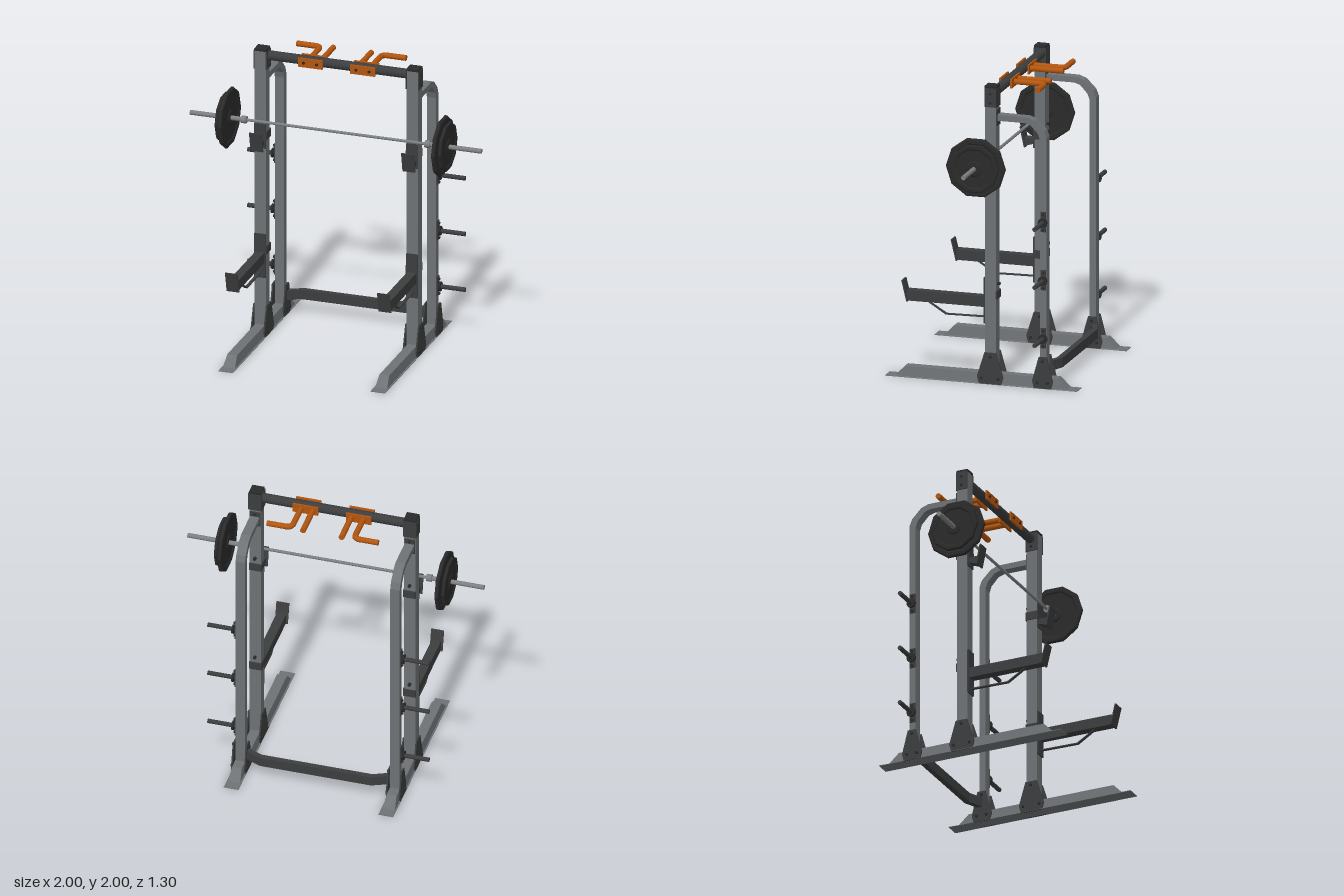
import * as THREE from 'three';

export function createModel() {
  const root = new THREE.Group();
  root.name = 'powerRack';
  const mat = (name, color) => {
    const m = new THREE.MeshStandardMaterial({ color });
    m.name = name;
    return m;
  };
  const steel = mat('grey steel', 0x6e7275);
  const dark = mat('dark steel', 0x3c3d3e);
  const iron = mat('black iron', 0x2a2a2b);
  const chrome = mat('bar metal', 0x7d8082);
  const orange = mat('orange grip', 0xb4560f);

  const add = (name, geo, material, x = 0, y = 0, z = 0, parent = root) => {
    const m = new THREE.Mesh(geo, material);
    m.name = name;
    m.position.set(x, y, z);
    parent.add(m);
    return m;
  };
  // Box given by its ranges in y and z, centred on x
  const box = (name, material, x, w, y0, y1, z0, z1) =>
    add(name, new THREE.BoxGeometry(w, y1 - y0, z1 - z0), material, x, (y0 + y1) / 2, (z0 + z1) / 2);
  // Cylinder along the x axis or the z axis
  const rod = (name, material, r, len, x, y, z, axis = 'x', sides = 10) => {
    const g = new THREE.CylinderGeometry(r, r, len, sides);
    if (axis === 'x') g.rotateZ(Math.PI / 2);
    else g.rotateX(Math.PI / 2);
    return add(name, g, material, x, y, z);
  };
  // Side profile of [z, y] points, extruded to width w across x
  const profile = (pts, w) => {
    const shape = new THREE.Shape(pts.map(p => new THREE.Vector2(...p)));
    const g = new THREE.ExtrudeGeometry(shape, { depth: w, bevelEnabled: false });
    return g.translate(0, 0, -w / 2).rotateY(-Math.PI / 2);
  };
  const facet = g => {
    const f = g.index ? g.toNonIndexed() : g;
    f.computeVertexNormals();
    return f;
  };

  // Floor rail with sloped ends and flared feet
  const railGeo = () => {
    const g = profile([[-0.655, 0], [0.65, 0], [0.65, 0.004], [0.585, 0.006], [0.52, 0.073],
      [-0.52, 0.073], [-0.585, 0.006], [-0.655, 0.004]], 0.066);
    const p = g.attributes.position;
    for (let i = 0; i < p.count; i++) {
      const t = Math.max(0, (Math.abs(p.getZ(i)) - 0.52) / 0.13);
      p.setX(i, p.getX(i) * (1 + 0.5 * t));
    }
    return facet(g);
  };

  // Weight plate with a raised rim and hub
  const plateGeo = (r, t) => {
    const pts = [[0, -t], [0.045, -t], [0.055, -t * 0.5], [r * 0.78, -t * 0.5], [r * 0.84, -t], [r * 0.96, -t],
      [r, -t * 0.6], [r, t * 0.6], [r * 0.96, t], [r * 0.84, t], [r * 0.78, t * 0.5], [0.055, t * 0.5], [0.045, t], [0, t]];
    const g = new THREE.LatheGeometry(pts.map(p => new THREE.Vector2(...p)), 10);
    return facet(g.rotateZ(Math.PI / 2));
  };

  for (const s of [1, -1]) {
    const X = 0.522 * s;
    add('floorRail', railGeo(), steel, X);

    // Front upright with its top cap
    box('upright', steel, X, 0.078, 0.06, 1.985, -0.1, -0.026);
    box('capTop', iron, X, 0.082, 1.985, 2, -0.104, -0.024);
    box('capBack', dark, X, 0.086, 1.86, 1.986, -0.107, -0.1);
    for (const k of [1, -1]) {
      box('capSide', dark, X + k * 0.042, 0.008, 1.86, 1.986, -0.105, -0.024);
      for (const y of [1.89, 1.95])
        rod('capBolt', iron, 0.008, 0.012, X + k * 0.05, y, -0.065, 'x', 6);
    }

    // Rear post that bends forward to join the upright
    add('rearPost', profile([[-0.1, 1.77], [-0.295, 1.77], [-0.335, 1.757], [-0.385, 1.703], [-0.4, 1.66],
      [-0.4, 0.06], [-0.443, 0.06], [-0.443, 1.68], [-0.425, 1.725], [-0.36, 1.79], [-0.31, 1.808], [-0.1, 1.81]], 0.064), steel, X);
    box('armFlange', dark, X, 0.07, 1.735, 1.845, -0.108, -0.1);
    for (const y of [1.75, 1.83])
      rod('flangeBolt', iron, 0.008, 0.012, X, y, -0.112, 'z', 6);

    // Gusset plates on both sides of each post
    for (const k of [1, -1]) {
      const gx = X + k * 0.044;
      add('frontGusset', profile([[0.012, 0], [0.026, 0.05], [-0.025, 0.212], [-0.105, 0.212], [-0.152, 0.05], [-0.138, 0]], 0.01), dark, gx);
      add('rearGusset', profile([[-0.362, 0], [-0.349, 0.05], [-0.394, 0.212], [-0.449, 0.212], [-0.49, 0.05], [-0.478, 0]], 0.01), dark, gx);
      for (const [z, y] of [[-0.005, 0.04], [-0.12, 0.04], [-0.065, 0.185], [-0.385, 0.04], [-0.455, 0.04], [-0.42, 0.185]])
        rod('gussetBolt', iron, 0.01, 0.012, X + k * 0.053, y, z, 'x', 6);
    }

    // Plate storage pegs
    for (const y of [1.115, 0.725, 0.335]) {
      box('pegBracket', dark, X + s * 0.036, 0.008, y - 0.065, y + 0.07, -0.44, -0.403);
      rod('pegFlange', iron, 0.032, 0.014, s * 0.574, y, -0.422);
      rod('peg', dark, 0.015, 0.19, s * 0.652, y, -0.422);
      for (const d of [-0.05, 0.052])
        rod('pegBolt', iron, 0.009, 0.012, X + s * 0.044, y + d, -0.422, 'x', 6);
    }

    // Bar cup: back plate, shelf and slanted lip
    box('cupBack', dark, X, 0.08, 1.31, 1.48, -0.026, -0.018);
    add('cupShelf', profile([[-0.02, 1.335], [0.045, 1.315], [0.045, 1.37], [-0.02, 1.37]], 0.06), dark, X);
    add('cupLip', profile([[0.035, 1.31], [0.045, 1.31], [0.073, 1.445], [0.063, 1.445]], 0.086), dark, X);

    // Safety arm with slanted lip and brace
    box('safetyMount', dark, X, 0.08, 0.405, 0.71, -0.026, -0.016);
    box('safetyArm', dark, X, 0.062, 0.512, 0.582, -0.02, 0.508);
    add('safetyLip', profile([[0.5, 0.508], [0.508, 0.508], [0.542, 0.648], [0.534, 0.648]], 0.086), dark, X);
    add('safetyBrace', profile([[-0.016, 0.437], [0.25, 0.433], [0.378, 0.512], [0.366, 0.512], [0.247, 0.441], [-0.016, 0.445]], 0.02), dark, X);

    // Straps and pins that hook the cup and arm onto the upright
    for (const y of [1.37, 0.57]) {
      box('hookSide', dark, X - s * 0.042, 0.007, y, y + 0.055, -0.107, -0.018);
      box('hookBack', dark, X, 0.08, y, y + 0.055, -0.107, -0.1);
      rod('hookPin', iron, 0.011, 0.02, X, y + 0.1, -0.108, 'z', 8);
    }

    // Pull-up grips: one straight, one turned outward
    for (const z of [-0.033, -0.109]) box('gripClamp', orange, s * 0.18, 0.17, 1.912, 1.974, z - 0.006, z + 0.006);
    for (const x of [0.135, 0.225])
      rod('clampBolt', iron, 0.01, 0.008, s * x, 1.943, -0.024, 'z', 6);
    rod('straightGrip', orange, 0.019, 0.235, s * 0.13, 1.945, -0.222, 'z');
    rod('angledGripStem', orange, 0.019, 0.18, s * 0.21, 1.945, -0.195, 'z');
    const elbow = new THREE.QuadraticBezierCurve3(new THREE.Vector3(s * 0.21, 1.945, -0.283),
      new THREE.Vector3(s * 0.21, 1.945, -0.324), new THREE.Vector3(s * 0.25, 1.945, -0.324));
    add('angledGripElbow', new THREE.TubeGeometry(elbow, 5, 0.019, 10), orange);
    rod('angledGripEnd', orange, 0.019, 0.128, s * 0.312, 1.945, -0.324);

    // Barbell sleeve, collar and plates
    rod('barSleeve', chrome, 0.016, 0.36, s * 0.82, 1.495, -0.02);
    rod('barCollar', chrome, 0.025, 0.034, s * 0.63, 1.495, -0.02);
    add('largePlate', plateGeo(0.202, 0.013), iron, s * 0.733, 1.495, -0.02);
    add('smallPlate', plateGeo(0.166, 0.011), iron, s * 0.767, 1.495, -0.02);
  }

  // Barbell shaft and top crossbar
  rod('barShaft', chrome, 0.01, 1.3, 0, 1.495, -0.02, 'x', 8);
  rod('topCrossbar', dark, 0.032, 0.98, 0, 1.947, -0.071, 'x', 12);

  // Rear crossmember, bowed backward in plan
  const half = [[0.49, 0.405], [0.375, 0.457]];
  const outer = [[0.375, 0.494], [0.49, 0.445]];
  const flip = pts => pts.map(([x, d]) => [-x, d]).reverse();
  const plan = [...half, ...flip(half), ...flip(outer), ...outer];
  const cross = new THREE.ExtrudeGeometry(new THREE.Shape(plan.map(p => new THREE.Vector2(...p))),
    { depth: 0.065, bevelEnabled: false });
  add('rearCrossmember', cross.rotateX(-Math.PI / 2), dark, 0, 0.1, 0);

  return root;
}
